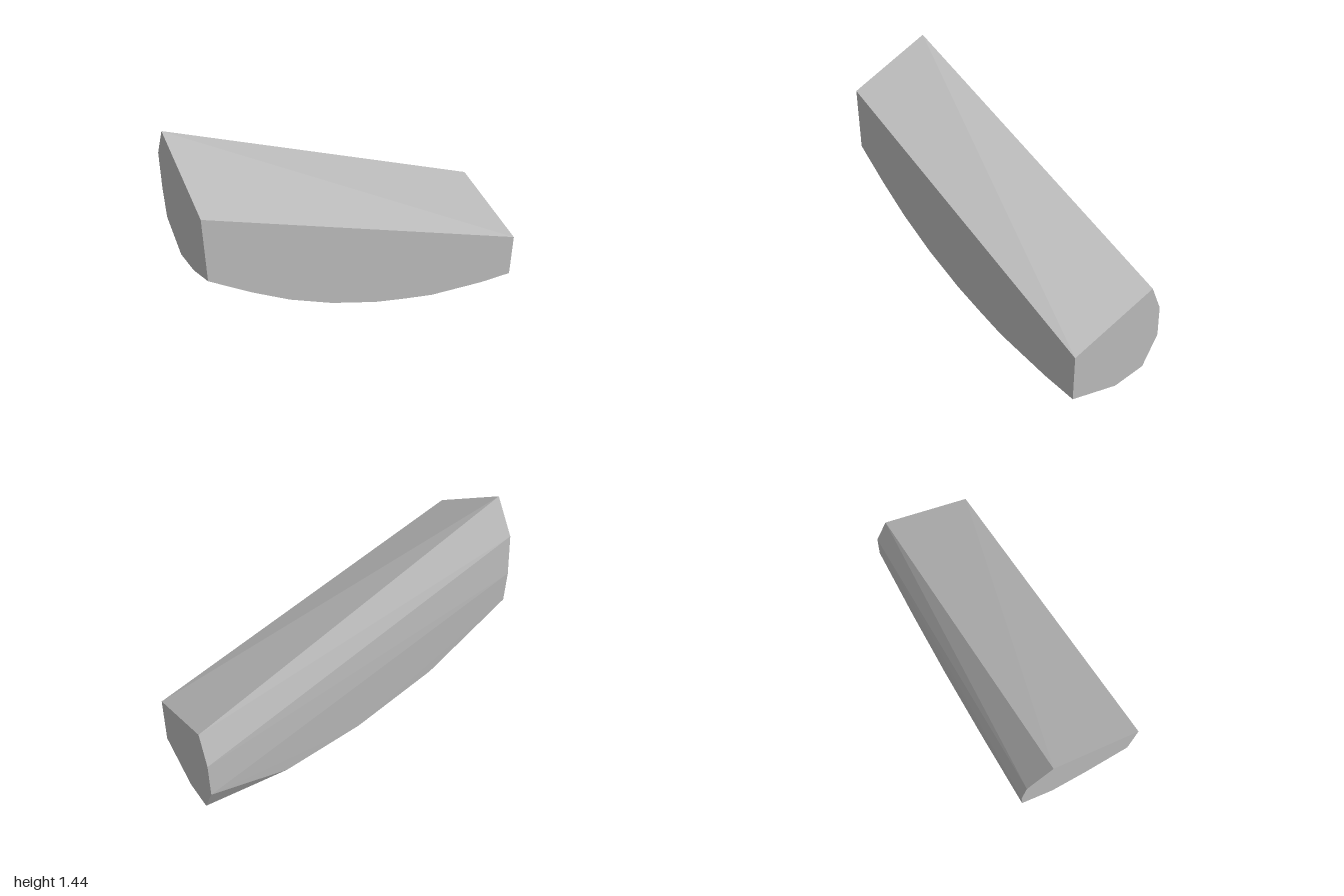
import * as THREE from 'three';
import { ConvexGeometry } from 'three/addons/geometries/ConvexGeometry.js';

export function createModel() {
  const stone = new THREE.MeshStandardMaterial({ color: 0xb8b8b8 });
  const points = [];
  const add = (x, y, z) => points.push(new THREE.Vector3(x, y, z));

  // Tall end: [z, y] outline
  [[0.335, 0.815], [0.335, 1.2], [-0.18, 1.44], [-0.315, 1.24], [-0.335, 1.0],
    [-0.325, 0.81], [-0.13, 0.675], [0.09, 0.715]].forEach(([z, y]) => add(-1, y, z));

  // Low end: [z, y] outline
  [[0.335, 0.11], [0.335, 0.4], [-0.235, 0.57], [-0.315, 0.4], [-0.325, 0.2],
    [-0.22, 0.02], [0, 0.003]].forEach(([z, y]) => add(1, y, z));

  // Curved lower edge of the flat front: [x, y]
  [[-0.77, 0.65], [-0.55, 0.51], [-0.29, 0.38], [0, 0.27], [0.2, 0.215],
    [0.4, 0.165], [0.78, 0.12]].forEach(([x, y]) => add(x, y, 0.335));

  // Rounded underside: keel [x, y], with a shoulder in front and behind
  [[-0.83, 0.55], [-0.48, 0.36], [-0.22, 0.25], [0.03, 0.155], [0.22, 0.1],
    [0.52, 0.04], [0.77, 0.004]].forEach(([x, y], i) => {
    add(x, y, -0.12);
    add(x, y + 0.035, 0.12);
    if (i % 2 === 1) add(x, y + 0.1, -0.315);
  });

  const block = new THREE.Mesh(new ConvexGeometry(points), stone);
  block.name = 'curvedBlock';
  const group = new THREE.Group();
  group.name = 'slopingBlock';
  group.add(block);
  return group;
}
